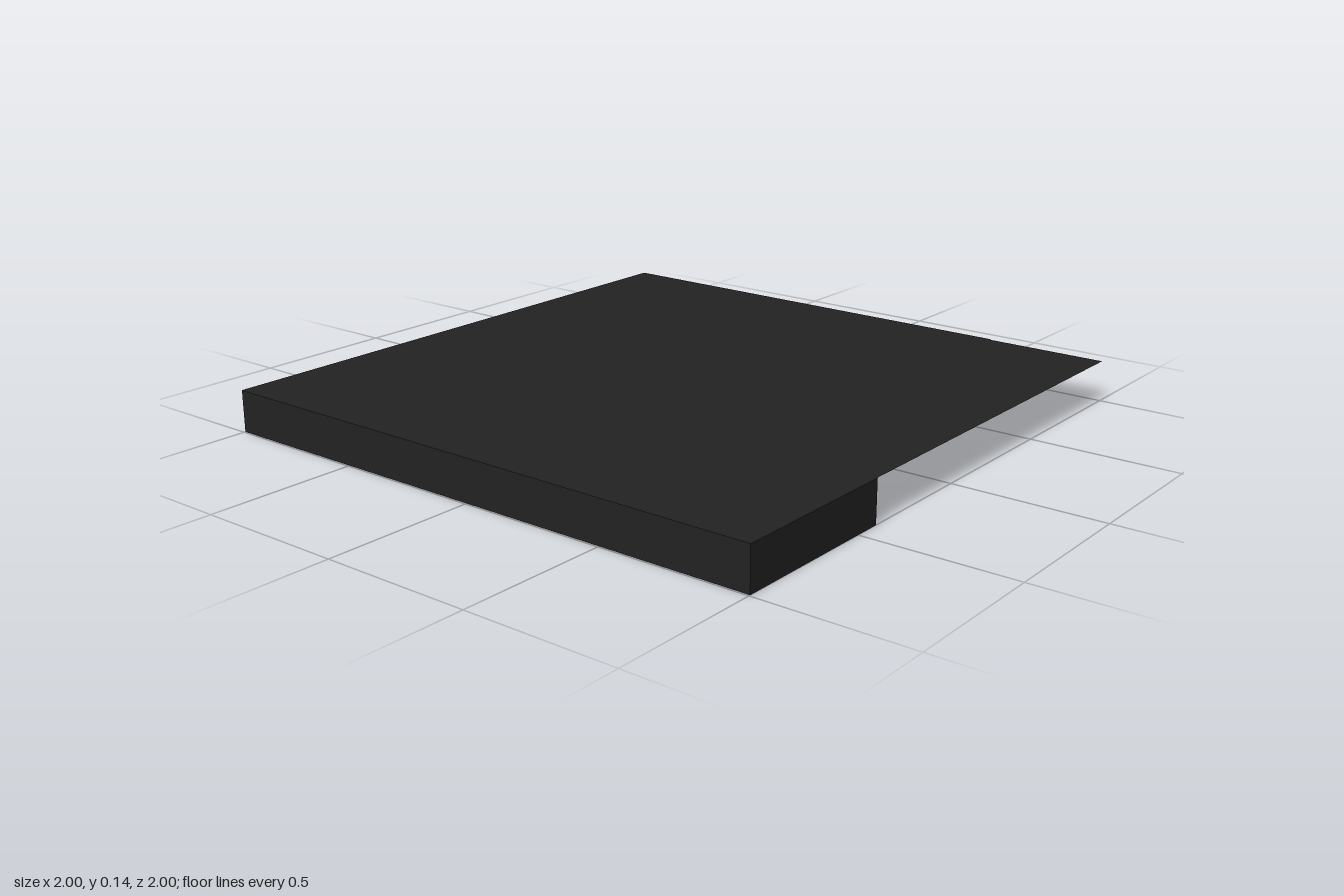
import * as THREE from 'three';

const CELLS = 14;
const CELL = 1.98 / CELLS;
const HEIGHT = 0.14;
const THICK = 0.02;

// Wall runs as corner points: [cells from the x- side, cells from the front]
const outerRuns = [
  [[0, 0], [14, 0], [14, 4], [11, 4], [11, 14], [0, 14], [0, 0]],
];
const innerRuns = [
  // long corridors along the front and the x- side
  [[14, 1], [1, 1], [1, 7]],
  [[14, 2], [9, 2], [9, 3], [11, 3]],
  [[1, 8], [1, 13], [3, 13], [3, 12], [5, 12], [5, 10], [7, 10], [7, 5], [9, 5], [9, 4]],
  [[2, 8], [2, 12]],
  [[2, 2], [2, 7], [3, 7], [3, 11], [4, 11]],
  // front spiral
  [[7, 5], [7, 3], [4, 3], [4, 4], [6, 4]],
  [[2, 2], [8, 2]],
  [[3, 3], [3, 6], [4, 6], [4, 5], [5, 5], [5, 6]],
  [[4, 10], [4, 7], [6, 7], [6, 6]],
  [[5, 9], [5, 8], [6, 8], [6, 9]],
  // branches off the back wall
  [[4, 14], [4, 13]],
  [[6, 14], [6, 11]],
  [[7, 10], [7, 12], [8, 12], [8, 14]],
  [[9, 14], [9, 11], [8, 11]],
  [[10, 13], [10, 10], [8, 10], [8, 9]],
  [[11, 8], [8, 8], [8, 6], [10, 6]],
  [[11, 5], [10, 5]],
];

export function createModel() {
  const model = new THREE.Group();
  const charcoal = new THREE.MeshStandardMaterial({ color: 0x222222, side: THREE.DoubleSide });
  charcoal.name = 'charcoal';

  const toX = (u) => -0.99 + u * CELL;
  const toZ = (w) => 0.985 - w * CELL;

  // One upright box for each straight stretch of a run
  const addWalls = (runs, name) => {
    const group = new THREE.Group();
    group.name = name;
    for (const run of runs) {
      for (let i = 1; i < run.length; i++) {
        const [u0, w0] = run[i - 1];
        const [u1, w1] = run[i];
        const wall = new THREE.Mesh(
          new THREE.BoxGeometry(
            Math.abs(u1 - u0) * CELL + THICK,
            HEIGHT - 0.001,
            Math.abs(w1 - w0) * CELL + THICK
          ),
          charcoal
        );
        wall.position.set(toX((u0 + u1) / 2), (HEIGHT - 0.001) / 2, toZ((w0 + w1) / 2));
        wall.name = 'wall';
        group.add(wall);
      }
    }
    model.add(group);
  };
  addWalls(outerRuns, 'outerWalls');
  addWalls(innerRuns, 'innerWalls');

  // Thin sheet covering the whole maze
  const roof = new THREE.Mesh(new THREE.PlaneGeometry(2, 1.99).rotateX(-Math.PI / 2), charcoal);
  roof.position.y = HEIGHT;
  roof.name = 'roof';
  model.add(roof);

  return model;
}
